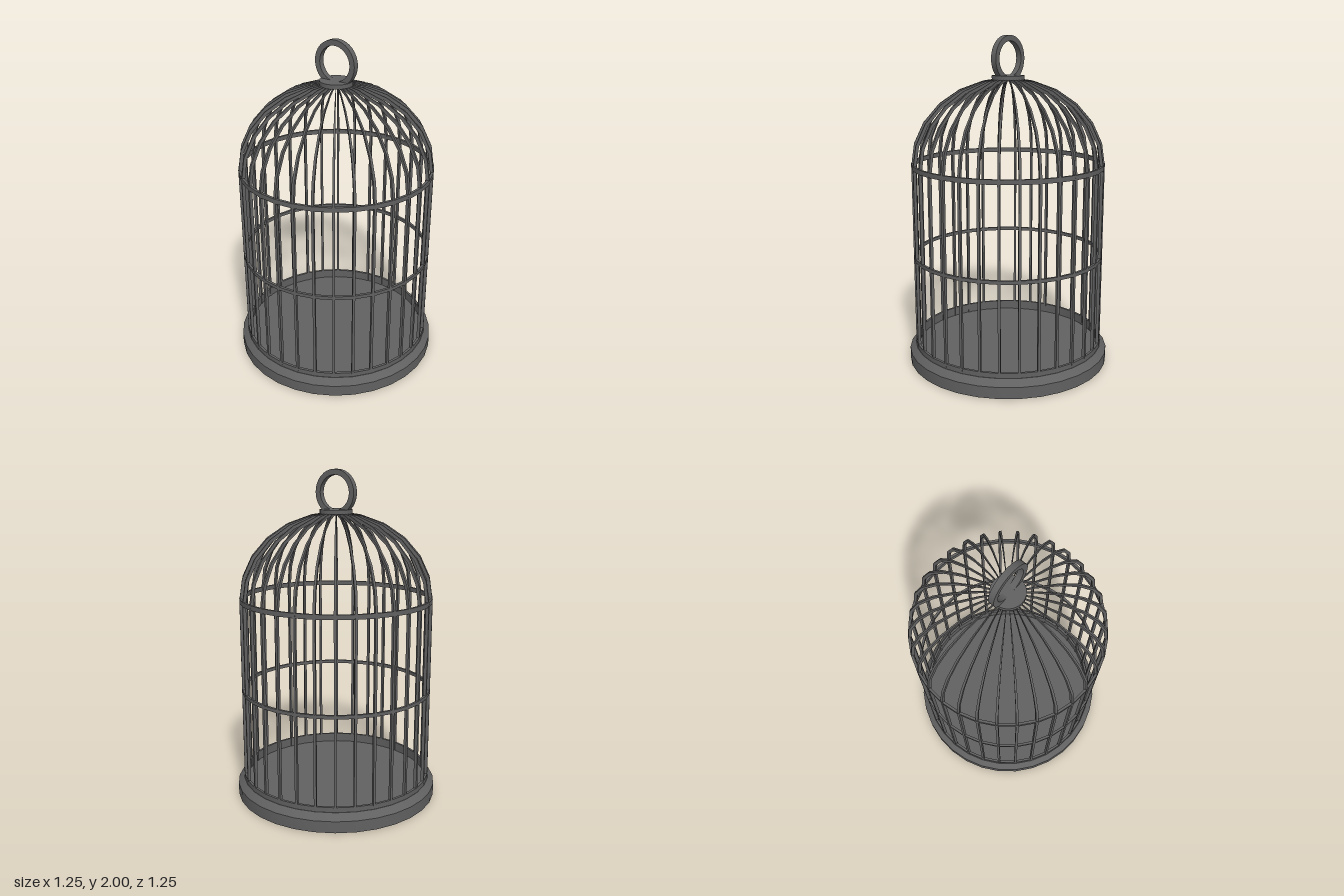
import * as THREE from 'three';
import { toCreasedNormals } from 'three/addons/utils/BufferGeometryUtils.js';

const SIDES = 32;
const R = 0.575;          // centreline radius of the bars
const SHOULDER = 1.235;   // height where the dome begins
const DOME = 0.508;       // rise of the dome

const material = new THREE.MeshStandardMaterial({ color: 0x616161 });

function add(parent, name, geometry) {
  const mesh = new THREE.Mesh(geometry, material);
  mesh.name = name;
  parent.add(mesh);
  return mesh;
}

// Turned part from [radius, height] points, listed upwards on the outside
function turned(points) {
  const profile = points.map(([r, y]) => new THREE.Vector2(r, y));
  return toCreasedNormals(new THREE.LatheGeometry(profile, SIDES), 0.5);
}

// Flat band with a rectangular section
function band(inner, outer, y0, y1) {
  return turned([[inner, y0], [outer, y0], [outer, y1], [inner, y1], [inner, y0]]);
}

// One bar: a rectangular section swept up the side and over the dome,
// growing narrower towards the crown
function barGeometry() {
  const half = 0.0095;
  const path = [[R, 0.07, 0]];
  for (let deg = 0; deg <= 85; deg += deg < 75 ? 15 : 10) {
    const t = THREE.MathUtils.degToRad(deg);
    path.push([R * Math.cos(t), SHOULDER + DOME * Math.sin(t), t]);
  }
  const positions = [], index = [];
  for (const [r, y, t] of path) {
    const w = Math.max(0.0075 * r / R, 0.001);
    const dx = half * Math.cos(t), dy = half * Math.sin(t);
    positions.push(
      r + dx, y + dy, w,
      r + dx, y + dy, -w,
      r - dx, y - dy, -w,
      r - dx, y - dy, w,
    );
  }
  for (let i = 0; i < path.length - 1; i++) {
    for (let k = 0; k < 4; k++) {
      const a = i * 4 + k, b = i * 4 + (k + 1) % 4;
      index.push(a, b, b + 4, a, b + 4, a + 4);
    }
  }
  const e = (path.length - 1) * 4;
  index.push(0, 2, 1, 0, 3, 2, e, e + 1, e + 2, e, e + 2, e + 3);
  const geometry = new THREE.BufferGeometry();
  geometry.setAttribute('position', new THREE.Float32BufferAttribute(positions, 3));
  geometry.setIndex(index);
  return toCreasedNormals(geometry, 0.6);
}

export function createModel() {
  const cage = new THREE.Group();
  cage.name = 'birdcage';

  // Base tray with a chamfered rim and a sunken floor
  add(cage, 'base', turned([
    [0, 0], [0.623, 0], [0.623, 0.07], [0.587, 0.107], [0.57, 0.107], [0.57, 0.08], [0, 0.08],
  ]));

  // Horizontal bands
  add(cage, 'lowerBand', band(0.57, 0.585, 0.105, 0.137));
  add(cage, 'middleBand', band(0.57, 0.585, 0.664, 0.685));
  add(cage, 'shoulderBand', band(0.57, 0.585, 1.221, 1.249));

  // Bars running from the base to the crown
  const bars = new THREE.Group();
  bars.name = 'bars';
  const bar = barGeometry();
  for (let i = 0; i < SIDES; i++) {
    add(bars, 'bar', bar).rotation.y = i * 2 * Math.PI / SIDES;
  }
  cage.add(bars);

  // Crown disc
  add(cage, 'crownCap', turned([[0, 1.741], [0.097, 1.741], [0.097, 1.767], [0, 1.767]]));

  // Upright hanging ring
  const ring = add(cage, 'hangingRing', band(0.102, 0.135, -0.018, 0.018));
  ring.rotation.x = Math.PI / 2;
  ring.position.y = 1.865;

  return cage;
}
